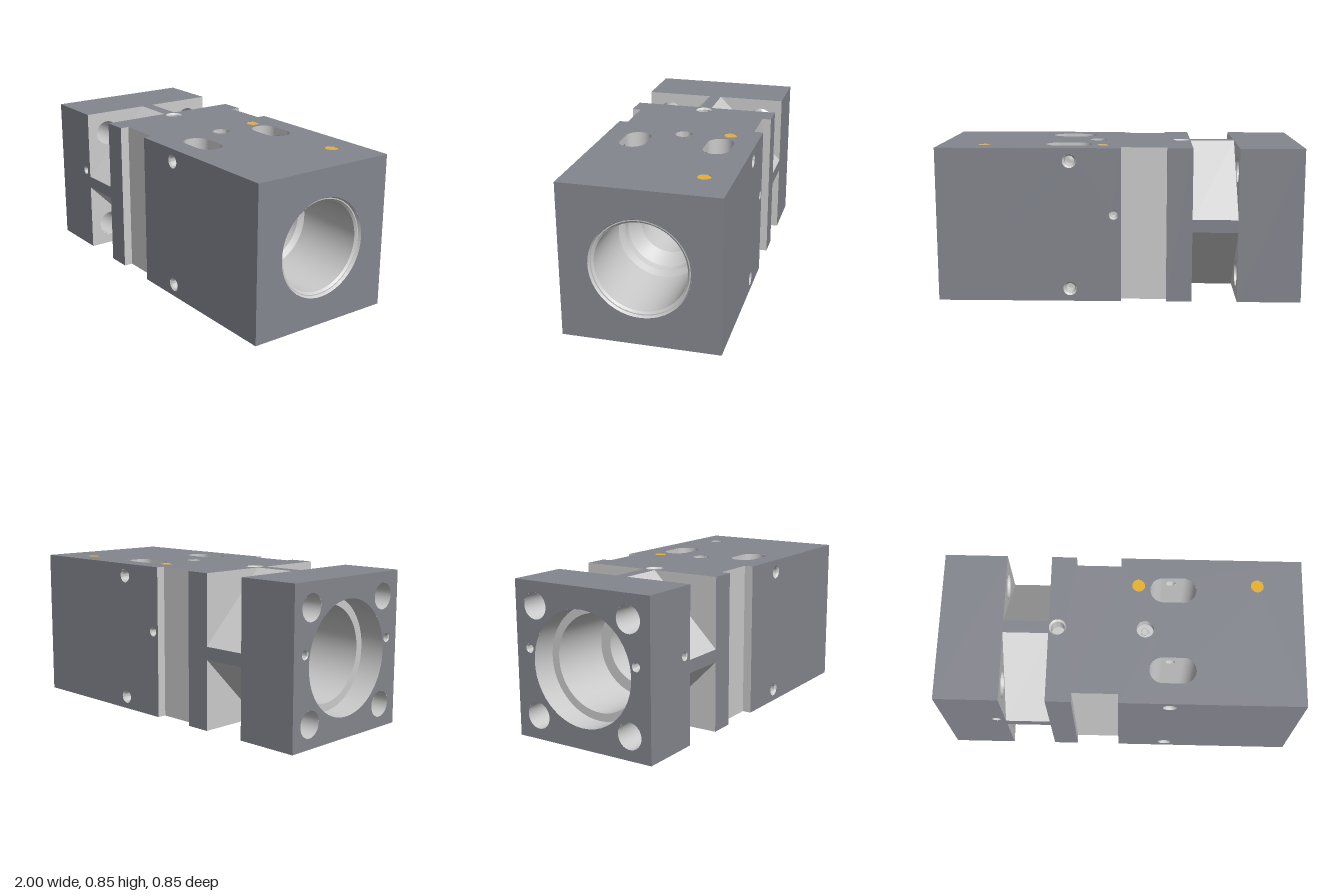
import * as THREE from 'three';
import { toCreasedNormals } from 'three/addons/utils/BufferGeometryUtils.js';

const H = 0.85, D = 0.425, MID = 0.425;
const V = (a) => new THREE.Vector3(...a);

// right-handed bases (u, v, normal) for each face direction
const BASES = {
  '+x': [[0, 0, -1], [0, 1, 0], [1, 0, 0]],
  '-x': [[0, 0, 1], [0, 1, 0], [-1, 0, 0]],
  '+y': [[1, 0, 0], [0, 0, -1], [0, 1, 0]],
  '-y': [[1, 0, 0], [0, 0, 1], [0, -1, 0]],
  '+z': [[1, 0, 0], [0, 1, 0], [0, 0, 1]],
  '-z': [[-1, 0, 0], [0, 1, 0], [0, 0, -1]],
};

export function createModel() {
  const root = new THREE.Group();
  const dark = new THREE.MeshStandardMaterial({ color: 0x84868e });
  const light = new THREE.MeshStandardMaterial({ color: 0xcccccc });
  const inner = new THREE.MeshStandardMaterial({ color: 0xcccccc, side: THREE.DoubleSide });
  const brass = new THREE.MeshStandardMaterial({ color: 0xe8b02a });

  const add = (parent, name, geo, mat) => {
    const m = new THREE.Mesh(geo, mat);
    m.name = name;
    parent.add(m);
    return m;
  };

  // One flat face of the box min..max, pierced by holes { p, r, ri, depth, floor, s }
  // (r: rim radius, ri: radius below the chamfer, s: half length of a slot)
  function panel(parent, name, dir, min, max, holes = [], mat = dark) {
    const [u, v, n] = BASES[dir].map(V);
    const a = V(min), b = V(max);
    const off = Math.max(a.dot(n), b.dot(n));
    const u0 = Math.min(a.dot(u), b.dot(u)), u1 = Math.max(a.dot(u), b.dot(u));
    const v0 = Math.min(a.dot(v), b.dot(v)), v1 = Math.max(a.dot(v), b.dot(v));
    const shape = new THREE.Shape([[u0, v0], [u1, v0], [u1, v1], [u0, v1]].map((q) => new THREE.Vector2(...q)));
    const basis = new THREE.Matrix4().makeBasis(u, v, n).setPosition(n.clone().multiplyScalar(off));
    for (const { p, r, ri = r, depth = 0, floor, s = 0 } of holes) {
      const hu = V(p).dot(u), hv = V(p).dot(v);
      const path = new THREE.Path();
      if (s) {
        path.absarc(hu + s, hv, r, -Math.PI / 2, Math.PI / 2);
        path.absarc(hu - s, hv, r, Math.PI / 2, Math.PI * 1.5);
        path.closePath();
      } else path.absarc(hu, hv, r, 0, Math.PI * 2);
      shape.holes.push(path);
      if (!depth) continue;
      const pts = [new THREE.Vector2(r, 0)];
      if (ri < r) pts.push(new THREE.Vector2(ri, ri - r));
      pts.push(new THREE.Vector2(ri, -depth));
      const wall = toCreasedNormals(new THREE.LatheGeometry(pts, 32), 0.5);
      add(parent, name + 'HoleWall', wall.rotateX(Math.PI / 2).translate(hu, hv, 0).applyMatrix4(basis), inner);
      if (floor) {
        const disc = new THREE.CircleGeometry(ri, 32).translate(hu, hv, -depth);
        add(parent, name + 'HoleFloor', disc.applyMatrix4(basis), floor);
      }
    }
    add(parent, name, new THREE.ShapeGeometry(shape, 24).applyMatrix4(basis), mat);
  }

  // A box section made of panels; faces = { dir: { holes, mat } }, null skips a face
  function section(name, x0, x1, zh, faces) {
    const g = new THREE.Group();
    g.name = name;
    root.add(g);
    for (const dir of Object.keys(BASES)) {
      if (faces[dir] === null) continue;
      const { holes = [], mat = dark } = faces[dir] || {};
      panel(g, name + 'Face', dir, [x0, 0, -zh], [x1, H, zh], holes, mat);
    }
    return g;
  }
  const boreHole = (x, r) => ({ p: [x, MID, 0], r });

  // mounting flange with four bolt holes, dowel holes and a side hole
  const bolts = (x, depth) => [-1, 1].flatMap((i) => [-1, 1].map((j) =>
    ({ p: [x, MID + i * 0.295, j * 0.295], r: 0.072, depth })));
  const dowels = [-1, 1].map((j) => ({ p: [-1, 0.49, j * 0.34], r: 0.025, ri: 0.02, depth: 0.1, floor: light }));
  section('flange', -1, -0.65, D, {
    '-x': { holes: [boreHole(-1, 0.31), ...bolts(-1, 0.35), ...dowels] },
    '+x': { holes: [boreHole(-0.65, 0.31), ...bolts(-0.65, 0)], mat: light },
    '+z': { holes: [{ p: [-0.7, 0.49, D], r: 0.025, ri: 0.02, depth: 0.07, floor: light }] },
  });

  // neck: square with its four corners cut at 45 degrees
  const c = 0.035;
  const ring = [[c, D], [D, c], [D, -c], [c, -D], [-c, -D], [-D, -c], [-D, c], [-c, D]];
  const neck = new THREE.Group();
  neck.name = 'neck';
  root.add(neck);
  ring.forEach(([z, y], i) => {
    const [z2, y2] = ring[(i + 1) % 8];
    const side = new THREE.PlaneGeometry(0.25, Math.hypot(z2 - z, y2 - y));
    side.rotateX(Math.atan2(-(y + y2), z + z2));
    side.translate(-0.525, MID + (y + y2) / 2, (z + z2) / 2);
    add(neck, 'neckSide', side, i % 2 ? dark : light);
  });

  // collar between neck and clamping groove
  section('collar', -0.4, -0.26, D, {
    '-x': { holes: [boreHole(-0.4, 0.31)], mat: light },
    '+x': { holes: [boreHole(-0.26, 0.31)], mat: light },
    '+y': { holes: [{ p: [-0.35, H, 0], r: 0.048, ri: 0.038, depth: 0.09, floor: light }] },
  });

  // groove waist, recessed on front and back
  section('groove', -0.26, -0.01, 0.375, { '+x': null, '-x': null, '+z': { mat: light }, '-z': { mat: light } });

  // main body
  const SX = 0.283, SZ = 0.235, SR = 0.073, SS = 0.0545;
  const slots = (y) => [-1, 1].map((j) => ({ p: [SX, y, j * SZ], r: SR, s: SS }));
  const cross = (z, r, depth) => [0.07, 0.78].map((y) => ({ p: [0.27, y, z], r, ri: 0.028, depth }));
  const plug = (x, z) => ({ p: [x, H, z], r: 0.036, depth: 0.004, floor: brass });
  const pin = (x, z) => ({ p: [x, 0, z], r: 0.024, depth: 0.07, floor: light });
  const skin = D - SZ - SR;
  const body = section('body', -0.01, 1, D, {
    '-x': { holes: [boreHole(-0.01, 0.31)], mat: light },
    '+x': { holes: [boreHole(1, 0.27)] },
    '+y': { holes: [...slots(H), plug(0.09, -0.26), plug(0.75, -0.27),
      { p: [0.13, H, 0], r: 0.048, depth: 0.05, floor: light }] },
    '-y': { holes: [...slots(0), pin(0.12, -0.28), pin(0.76, -0.275)] },
    '+z': { holes: cross(D, 0.038, skin) },
    '-z': { holes: [...cross(-D, 0.038, skin),
      { p: [0.03, 0.485, -D], r: 0.026, ri: 0.02, depth: 0.1, floor: light }] },
  });
  // small centre hole at the bottom of the top counterbore
  add(body, 'counterboreCentre', new THREE.TorusGeometry(0.02, 0.004, 8, 24).rotateX(Math.PI / 2)
    .translate(0.13, H - 0.05, 0), light);

  // walls of the two through slots, pierced by the cross holes
  for (const j of [-1, 1]) {
    const slot = new THREE.Group();
    slot.name = 'slot';
    body.add(slot);
    for (const k of [-1, 1]) {
      const z = j * SZ + k * SR;
      const between = j === 1 && k === -1 ? 2 * (SZ - SR) : 0;
      panel(slot, 'slotWall', k < 0 ? '+z' : '-z', [SX - SS, 0, z], [SX + SS, H, z], cross(z, 0.028, between), light);
      const end = new THREE.CylinderGeometry(SR, SR, H, 24, 1, true, k > 0 ? 0 : Math.PI, Math.PI);
      add(slot, 'slotEnd', end.translate(SX + k * SS, H / 2, j * SZ), inner);
    }
  }

  // stepped bore along the whole length: [radius, x]
  const profile = [[0.31, -1], [0.31, -0.86], [0.265, -0.86], [0.265, -0.5], [0.2, -0.5], [0.2, -0.2],
    [0.16, -0.12], [0.16, 0.44], [0.21, 0.52], [0.215, 0.56], [0.245, 0.58], [0.245, 0.975],
    [0.256, 0.985], [0.262, 0.985], [0.27, 1]];
  const bore = new THREE.LatheGeometry(profile.map((q) => new THREE.Vector2(...q)), 64);
  add(root, 'bore', toCreasedNormals(bore, 0.4).rotateZ(-Math.PI / 2).translate(0, MID, 0), inner);

  return root;
}
